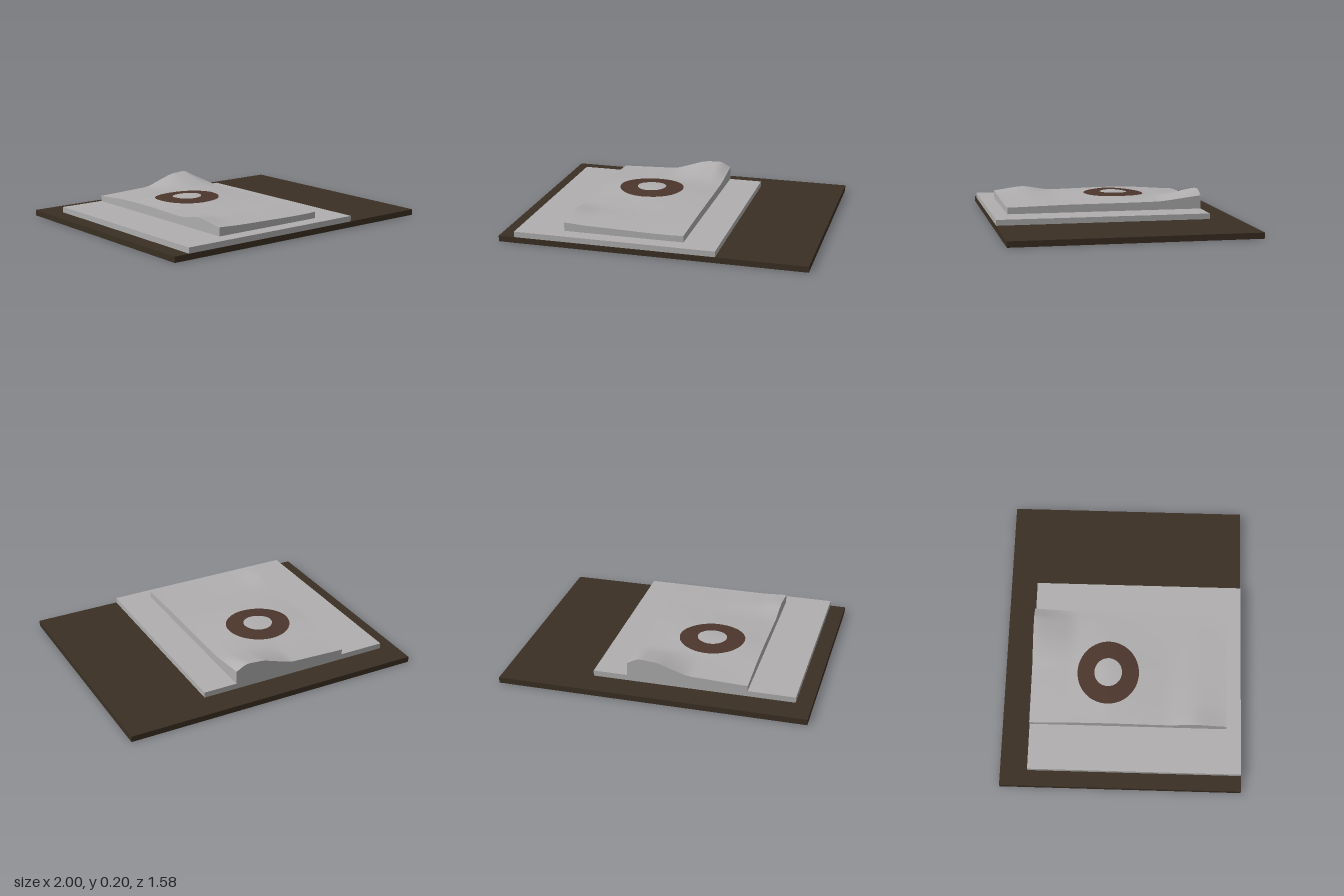
import * as THREE from 'three';

const paper = new THREE.MeshStandardMaterial({ name: 'paper grey', color: 0xb0aeae });
const wood = new THREE.MeshStandardMaterial({ name: 'dark wood', color: 0x3a2f23 });
const stain = new THREE.MeshStandardMaterial({ name: 'brown stain', color: 0x4c362d });

// Heights of the crumpled sheet: one row per z station, one column per x station
const xs = [-0.59, -0.45, -0.2, 0, 0.13, 0.195];
const zs = [-0.61, -0.34, -0.1, 0.31, 0.49, 0.69];
const heights = [
  [0.11, 0.115, 0.125, 0.195, 0.205, 0.16],
  [0.13, 0.13, 0.13, 0.135, 0.135, 0.13],
  [0.135, 0.147, 0.155, 0.142, 0.132, 0.127],
  [0.127, 0.126, 0.126, 0.126, 0.126, 0.126],
  [0.16, 0.137, 0.126, 0.124, 0.122, 0.122],
  [0.13, 0.123, 0.118, 0.114, 0.114, 0.118],
];

function locate(stops, v) {
  let i = 0;
  while (i < stops.length - 2 && v > stops[i + 1]) i++;
  return [i, THREE.MathUtils.clamp((v - stops[i]) / (stops[i + 1] - stops[i]), 0, 1)];
}

function rawHeight(x, z) {
  const [i, u] = locate(xs, x);
  const [j, v] = locate(zs, z);
  const { lerp } = THREE.MathUtils;
  return lerp(lerp(heights[j][i], heights[j][i + 1], u), lerp(heights[j + 1][i], heights[j + 1][i + 1], u), v);
}

// Averaging nearby samples softens the folds
function sheetHeight(x, z) {
  let sum = 0;
  for (let a = -2; a <= 2; a++)
    for (let b = -2; b <= 2; b++) sum += rawHeight(x + a * 0.012, z + b * 0.02);
  return sum / 25;
}

function box(name, material, x0, x1, y0, y1, z0, z1) {
  const mesh = new THREE.Mesh(new THREE.BoxGeometry(x1 - x0, y1 - y0, z1 - z0), material);
  mesh.position.set((x0 + x1) / 2, (y0 + y1) / 2, (z0 + z1) / 2);
  mesh.name = name;
  return mesh;
}

function crumpledSheet() {
  const bottom = 0.075;
  const geo = new THREE.BoxGeometry(0.785, 0.05, 1.3, 32, 1, 52);
  geo.translate(-0.1975, 0, 0.04);
  const p = geo.attributes.position;
  for (let i = 0; i < p.count; i++)
    p.setY(i, p.getY(i) > 0 ? sheetHeight(p.getX(i), p.getZ(i)) : bottom);
  geo.computeVertexNormals();
  const mesh = new THREE.Mesh(geo, paper);
  mesh.name = 'crumpledSheet';
  return mesh;
}

// Thin ring draped over the sheet
function ringStain() {
  const geo = new THREE.RingGeometry(0.098, 0.218, 64, 8);
  geo.rotateX(-Math.PI / 2);
  geo.scale(1, 1, 0.94);
  geo.translate(-0.24, 0, -0.1);
  const p = geo.attributes.position;
  for (let i = 0; i < p.count; i++)
    p.setY(i, sheetHeight(p.getX(i), p.getZ(i)) + 0.002);
  geo.computeVertexNormals();
  const mesh = new THREE.Mesh(geo, stain);
  mesh.name = 'ringStain';
  return mesh;
}

export function createModel() {
  const model = new THREE.Group();
  model.name = 'papersOnBoard';
  model.add(
    box('board', wood, -1, 1, 0, 0.038, -0.79, 0.79),
    box('paperStack', paper, -0.895, 0.42, 0.038, 0.075, -0.61, 0.788),
    crumpledSheet(),
    ringStain(),
  );
  return model;
}
